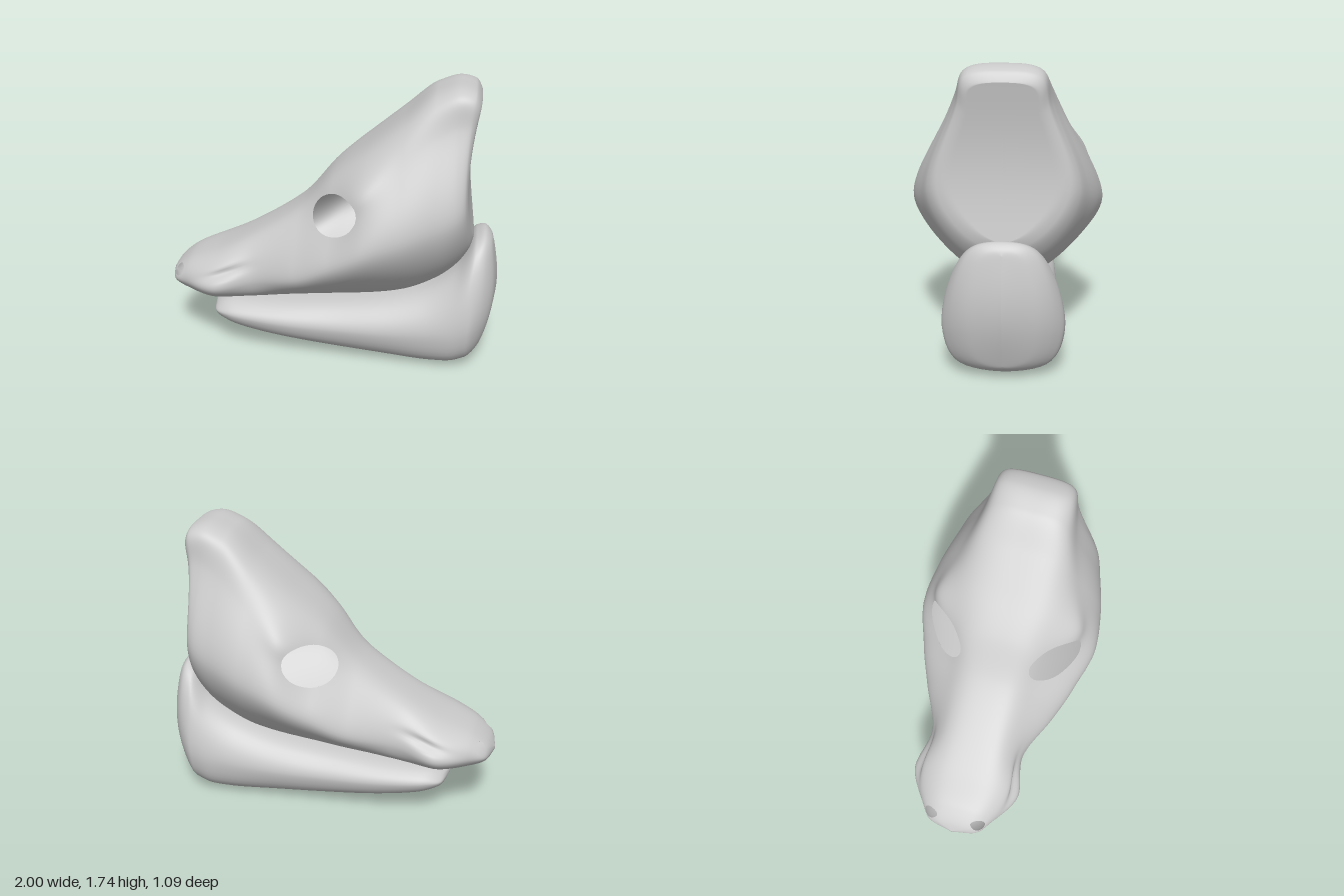
import * as THREE from 'three';

// Thin hollow shells, so the inside shows through the openings
const material = new THREE.MeshStandardMaterial({ color: 0xcccccc, side: THREE.DoubleSide });

// Stations: bottom x, y, top x, y, half widths low / middle / shoulder / top, height of the middle (0..1), forward bow
const SKULL = [
  [-1, 0.44, -1, 0.46, 0, 0, 0, 0, 0.5, 0],
  [-0.965, 0.395, -0.97, 0.51, 0.06, 0.14, 0.12, 0.07, 0.45, 0],
  [-0.88, 0.36, -0.88, 0.585, 0.11, 0.215, 0.19, 0.11, 0.42, 0],
  [-0.67, 0.35, -0.67, 0.675, 0.2, 0.33, 0.26, 0.15, 0.37, 0],
  [-0.46, 0.36, -0.46, 0.79, 0.2, 0.29, 0.23, 0.14, 0.36, 0],
  [-0.2, 0.385, -0.18, 0.985, 0.21, 0.4, 0.27, 0.15, 0.36, 0],
  [0.02, 0.395, 0.02, 1.215, 0.22, 0.49, 0.34, 0.19, 0.4, 0],
  [0.23, 0.41, 0.23, 1.395, 0.23, 0.55, 0.4, 0.23, 0.44, 0],
  [0.45, 0.45, 0.42, 1.555, 0.24, 0.52, 0.36, 0.23, 0.42, 0],
  [0.65, 0.545, 0.6, 1.705, 0.24, 0.46, 0.295, 0.21, 0.38, 0],
  [0.78, 0.66, 0.73, 1.745, 0.22, 0.41, 0.26, 0.21, 0.35, 0.01],
  [0.835, 0.75, 0.82, 1.725, 0.19, 0.35, 0.24, 0.2, 0.33, 0.035],
  [0.85, 0.8, 0.855, 1.67, 0.13, 0.27, 0.19, 0.16, 0.32, 0.05],
  [0.85, 0.8, 0.855, 1.67, 0, 0, 0, 0, 0.32, 0.05],
];
const JAW = [
  [-0.74, 0.245, -0.74, 0.265, 0, 0, 0, 0, 0.5, 0],
  [-0.715, 0.21, -0.715, 0.29, 0.09, 0.16, 0.13, 0.08, 0.5, 0],
  [-0.61, 0.155, -0.61, 0.333, 0.14, 0.23, 0.2, 0.13, 0.52, 0],
  [-0.3, 0.09, -0.3, 0.345, 0.17, 0.27, 0.24, 0.16, 0.52, 0],
  [0, 0.05, 0, 0.368, 0.18, 0.285, 0.25, 0.17, 0.52, 0],
  [0.3, 0.025, 0.3, 0.413, 0.2, 0.31, 0.27, 0.18, 0.5, 0],
  [0.6, 0.005, 0.57, 0.5, 0.23, 0.33, 0.28, 0.18, 0.47, 0],
  [0.74, 0.01, 0.76, 0.65, 0.25, 0.34, 0.28, 0.17, 0.38, 0],
  [0.82, 0.03, 0.865, 0.81, 0.25, 0.335, 0.26, 0.16, 0.34, 0],
  [0.865, 0.05, 0.915, 0.83, 0.21, 0.29, 0.23, 0.14, 0.34, -0.02],
  [0.9, 0.085, 0.955, 0.8, 0.13, 0.18, 0.14, 0.09, 0.36, -0.05],
  [0.91, 0.1, 0.97, 0.77, 0, 0, 0, 0, 0.4, -0.06],
];

// Elliptical features given in side elevation
const EYE = { x: 0.05, y: 1.02, a: 0.15, b: 0.1, tilt: 0.56 };
const NOSTRIL = { x: -0.93, y: 0.513, a: 0.038, b: 0.02, tilt: 0.87 };
const HOLLOW = { x: -0.01, y: 0.99, a: 0.2, b: 0.15, tilt: 0.56 };
const BROW = { x: 0.17, y: 1.16, a: 0.15, b: 0.07, tilt: 0.75 };
const CREASE = { x: -0.63, y: 0.57, a: 0.13, b: 0.025, tilt: 0.32 };

// Position in an ellipse's own frame, where the rim has radius 1
function toEllipse(e, x, y) {
  const c = Math.cos(e.tilt), s = Math.sin(e.tilt), dx = x - e.x, dy = y - e.y;
  const u = (dx * c + dy * s) / e.a, v = (dy * c - dx * s) / e.b;
  return { r: Math.hypot(u, v), angle: Math.atan2(v, u) };
}

function rimPoint(e, angle) {
  const c = Math.cos(e.tilt), s = Math.sin(e.tilt);
  const u = e.a * Math.cos(angle), v = e.b * Math.sin(angle);
  return [e.x + u * c - v * s, e.y + u * s + v * c];
}

// Width factor: eye hollows, brow ridges and a crease beside the muzzle
function skullRelief(x, y) {
  const bump = (e) => Math.exp(-(toEllipse(e, x, y).r ** 2));
  return 1 - 0.17 * bump(HOLLOW) + 0.1 * bump(BROW) - 0.1 * bump(CREASE);
}

// Smooth interpolation between stations without overshoot
function stationAt(stations, s) {
  const last = stations.length - 1, i = Math.min(Math.floor(s), last - 1), f = s - i;
  return stations[i].map((p, k) => {
    const value = (n) => stations[n][k];
    const tangent = (n) => {
      if (n === 0 || n === last) return value(Math.min(n + 1, last)) - value(Math.max(n - 1, 0));
      const d0 = value(n) - value(n - 1), d1 = value(n + 1) - value(n);
      return d0 * d1 <= 0 ? 0 : (2 * d0 * d1) / (d0 + d1);
    };
    const q = value(i + 1), f2 = f * f, f3 = f2 * f;
    return p * (2 * f3 - 3 * f2 + 1) + tangent(i) * (f3 - 2 * f2 + f) +
      q * (3 * f2 - 2 * f3) + tangent(i + 1) * (f3 - f2);
  });
}

// Surface point at station s and fraction u around the closed cross-section
function surfacePoint(stations, relief, s, u) {
  const [bx, by, tx, ty, low, mid, shoulder, top, tm, bow] = stationAt(stations, s);
  const side = [[low, 0.07], [mid, tm], [shoulder, 0.8], [top, 0.965]];
  const outline = [[0, 0], ...side, [0, 1], ...side.map(([z, t]) => [-z, t]).reverse()];
  const curve = new THREE.CatmullRomCurve3(outline.map(([z, t]) => new THREE.Vector3(0, t, z)), true);
  const p = curve.getPoint(u);
  const x = bx + (tx - bx) * p.y - bow * Math.sin(Math.PI * THREE.MathUtils.clamp(p.y, 0, 1));
  const y = by + (ty - by) * p.y;
  return [x, y, p.z * relief(x, y)];
}

// Slide along the surface until the point lies over the target in side elevation
function slideTo(point, s, u, [tx, ty]) {
  const e = 1e-4;
  for (let n = 0; n < 5; n++) {
    const p = point(s, u), ps = point(s + e, u), pu = point(s, u + e);
    const a = (ps[0] - p[0]) / e, b = (pu[0] - p[0]) / e, c = (ps[1] - p[1]) / e, d = (pu[1] - p[1]) / e;
    const det = a * d - b * c, dx = tx - p[0], dy = ty - p[1];
    s += THREE.MathUtils.clamp((d * dx - b * dy) / det, -0.1, 0.1);
    u += THREE.MathUtils.clamp((a * dy - c * dx) / det, -0.02, 0.02);
  }
  return [tx, ty, point(s, u)[2]];
}

// Lofted shell with openings cut through both sides
function loft(name, stations, perStation, around, holes, relief) {
  const rows = (stations.length - 1) * perStation, position = [], inside = [], index = [];
  const point = (s, u) => surfacePoint(stations, relief, s, u);
  for (let i = 0; i <= rows; i++) {
    for (let j = 0; j < around; j++) {
      const s = i / perStation, u = j / around, p = point(s, u);
      const hole = holes.find((h) => toEllipse(h, p[0], p[1]).r < 1);
      inside.push(Boolean(hole));
      position.push(...(hole ? slideTo(point, s, u, rimPoint(hole, toEllipse(hole, p[0], p[1]).angle)) : p));
    }
  }
  for (let i = 0; i < rows; i++) {
    for (let j = 0; j < around; j++) {
      const k = (j + 1) % around;
      const quad = [i * around + j, (i + 1) * around + j, (i + 1) * around + k, i * around + k];
      if (quad.every((n) => inside[n])) continue;
      const [a, b, c, d] = quad;
      index.push(a, b, c, a, c, d);
    }
  }
  const geometry = new THREE.BufferGeometry();
  geometry.setAttribute('position', new THREE.Float32BufferAttribute(position, 3));
  geometry.setIndex(index);
  geometry.computeVertexNormals();
  const mesh = new THREE.Mesh(geometry, material);
  mesh.name = name;
  return mesh;
}

export function createModel() {
  const model = new THREE.Group();
  model.name = 'animalSkull';
  model.add(
    loft('upperSkull', SKULL, 16, 128, [EYE, NOSTRIL], skullRelief),
    loft('lowerJaw', JAW, 8, 64, [], () => 1),
  );
  return model;
}
